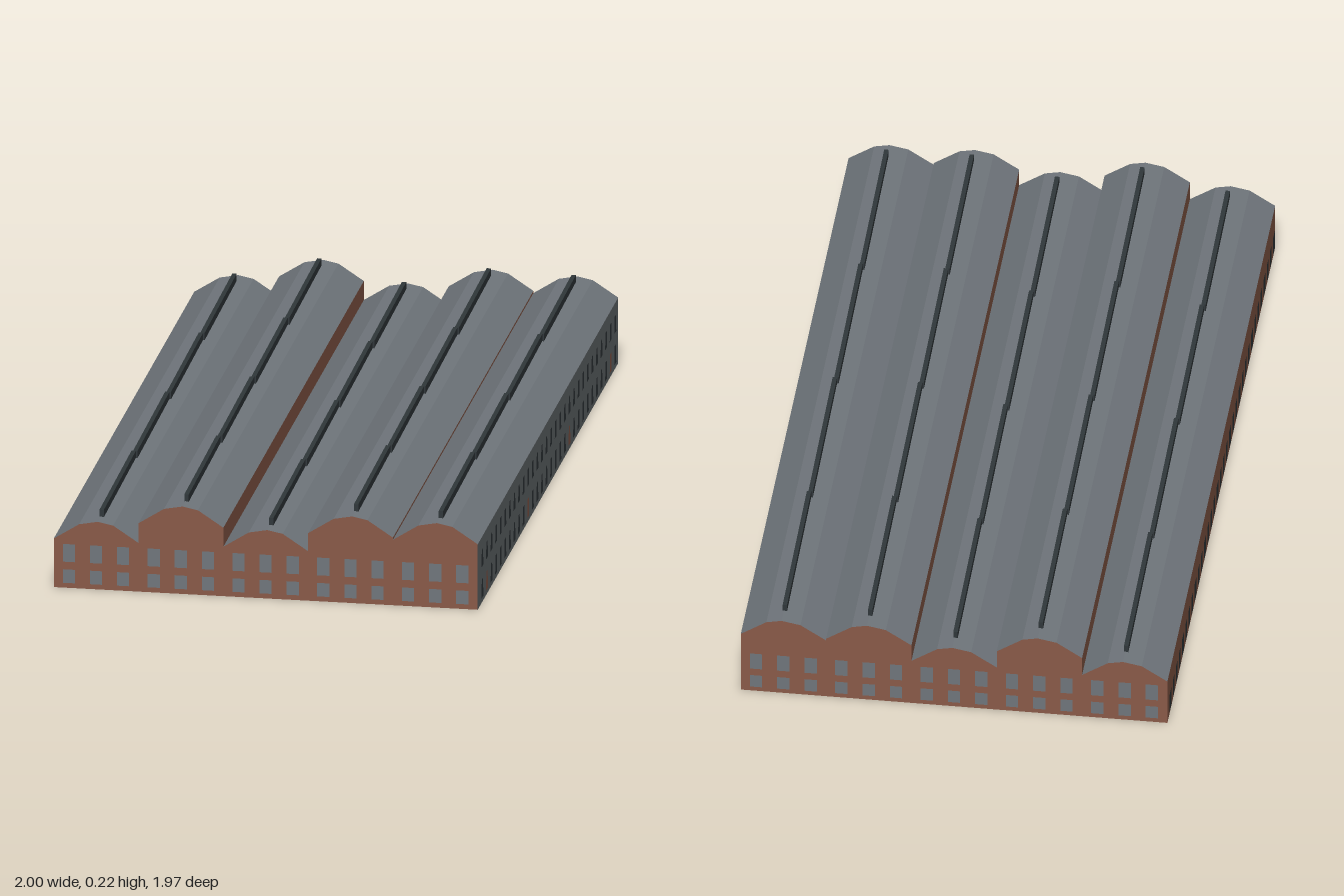
import * as THREE from 'three';

const LENGTH = 1.84, WIDTH = 0.97, BAYS = 5, BAY = WIDTH / BAYS;
// Eaves height of each bay, from the back long side to the front long side
const EAVES = [0.115, 0.162, 0.117, 0.16, 0.155];
// Gambrel outline within one bay: position across, rise above the eaves
const HUMP = [[0, 0], [0.3, 0.037], [0.52, 0.045], [0.7, 0.038], [1, 0]];

const mat = (name, color) => {
  const m = new THREE.MeshStandardMaterial({ color, side: THREE.DoubleSide, flatShading: true });
  m.name = name;
  return m;
};

export function createModel() {
  const slate = mat('slate grey', 0x70767c);
  const brick = mat('brick', 0x8a5a48);
  const plaster = mat('grey cladding', 0x666c6e);
  const dark = mat('dark glass', 0x30373a);

  const model = new THREE.Group();
  model.name = 'factoryHall';
  const hall = new THREE.Group();
  hall.name = 'hall';
  hall.rotation.y = 0.762;
  model.add(hall);

  const add = (name, geometry, material, parent = hall) => {
    const mesh = new THREE.Mesh(geometry, material);
    mesh.name = name;
    parent.add(mesh);
    return mesh;
  };

  // Whole cross-section of the hall as [z, y] points per bay
  const bays = EAVES.map((h, i) => HUMP.map(([t, r]) => [-WIDTH / 2 + (i + t) * BAY, h + r]));

  // Strip running the full length of the hall along a line of [z, y] points
  const strip = (points) => {
    const pos = [];
    for (let i = 0; i < points.length - 1; i++) {
      const [z0, y0] = points[i], [z1, y1] = points[i + 1], x = LENGTH / 2;
      pos.push(-x, y0, z0, -x, y1, z1, x, y1, z1, -x, y0, z0, x, y1, z1, x, y0, z0);
    }
    const g = new THREE.BufferGeometry();
    g.setAttribute('position', new THREE.Float32BufferAttribute(pos, 3));
    g.computeVertexNormals();
    return g;
  };

  // Gable end walls following the row of roofs
  const outline = new THREE.Shape();
  outline.moveTo(-WIDTH / 2, 0);
  bays.flat().forEach(([z, y]) => outline.lineTo(z, y));
  outline.lineTo(WIDTH / 2, 0);
  for (const side of [-1, 1]) {
    const wall = add('gableWall', new THREE.ShapeGeometry(outline), brick);
    wall.rotation.y = -Math.PI / 2;
    wall.position.x = side * LENGTH / 2;
  }

  // Long side walls
  add('backWall', strip([[-WIDTH / 2, 0], bays[0][0]]), brick);
  add('frontWall', strip([bays[BAYS - 1][4], [WIDTH / 2, 0]]), plaster);

  // Roofs, the walls where bays step in height, and ridge vents
  const SEGMENTS = 4, segment = (LENGTH - 0.08) / SEGMENTS;
  bays.forEach((points, i) => {
    add('roof', strip(points), slate);
    if (i > 0) add('stepWall', strip([bays[i - 1][4], points[0]]), brick);
    const [z, y] = points[2];
    for (let s = 0; s < SEGMENTS; s++) {
      const vent = add('ridgeVent', new THREE.BoxGeometry(segment, 0.02, 0.01), dark);
      vent.position.set(-LENGTH / 2 + 0.04 + (s + 0.5) * segment, y + 0.006, z);
      vent.rotation.y = 0.008;
    }
  });

  // Row of thin window panes on a plane facing local +z
  const windowRow = (parent, xs, y, w, h, taper, material) => {
    const pane = new THREE.Shape([
      new THREE.Vector2(-w / 2, 0), new THREE.Vector2(w / 2, 0),
      new THREE.Vector2(w / 2 * taper, h), new THREE.Vector2(-w / 2 * taper, h),
    ]);
    const geometry = new THREE.ShapeGeometry(pane);
    xs.forEach((x, i) => add('window', geometry, material(i), parent).position.set(x, y, 0));
  };
  const wallGroup = (name, x, z, turn) => {
    const g = new THREE.Group();
    g.name = name;
    g.position.set(x, 0, z);
    g.rotation.y = turn;
    hall.add(g);
    return g;
  };
  const spread = (n, span) => Array.from({ length: n }, (_, i) => ((i + 0.5) / n - 0.5) * span);

  // Gable windows, three to a bay on two floors
  const gableXs = spread(BAYS, WIDTH).flatMap((c) => [-0.062, 0, 0.062].map((d) => c + d));
  for (const side of [-1, 1]) {
    const g = wallGroup('gableWindows', side * (LENGTH / 2 + 0.002), 0, side * Math.PI / 2);
    windowRow(g, gableXs, 0.062, 0.028, 0.042, 1, () => slate);
    windowRow(g, gableXs, 0.012, 0.028, 0.032, 1, () => slate);
  }

  // Back side windows, one floor
  const back = wallGroup('backWindows', 0, -WIDTH / 2 - 0.002, Math.PI);
  windowRow(back, spread(34, LENGTH - 0.02), 0.014, 0.028, 0.048, 1, () => dark);

  // Front side windows, two floors, a few bricked up
  const front = wallGroup('frontWindows', 0, WIDTH / 2 + 0.002, 0);
  const frontXs = spread(30, LENGTH - 0.04);
  windowRow(front, frontXs, 0.088, 0.026, 0.04, 0.6, () => dark);
  windowRow(front, frontXs, 0.014, 0.026, 0.044, 0.6, (i) => (i % 9 === 1 ? brick : dark));

  return model;
}
